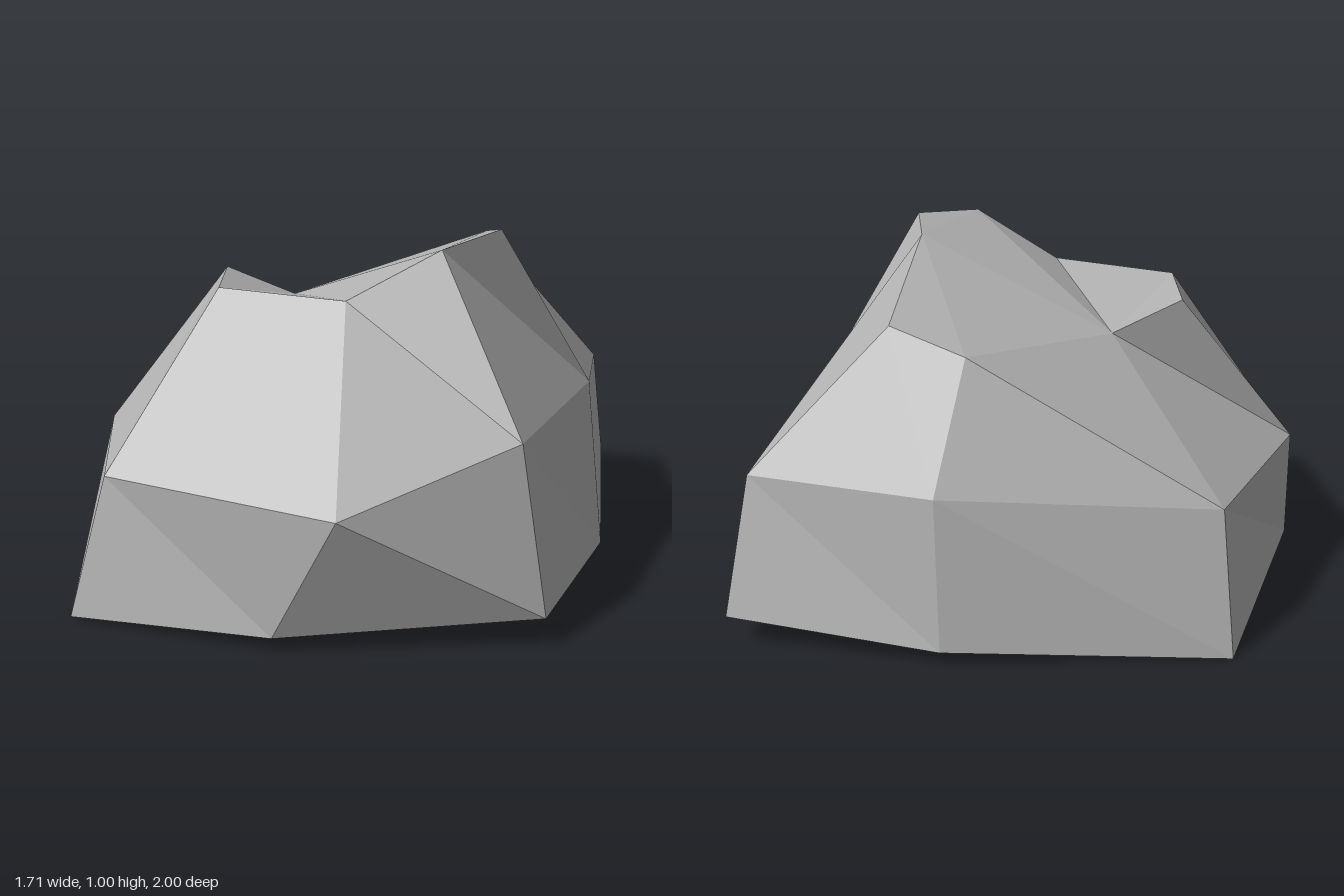
import * as THREE from 'three';

// Cross-section loops, running from the front (+z) round by +x
const base = [
  [-0.02, 0.01, 1.0], [0.46, 0.04, 0.67], [0.85, 0.08, 0.09], [0.46, 0.01, -0.51],
  [-0.02, 0.08, -1.0], [-0.45, 0.04, -0.59], [-0.86, 0.0, 0.07], [-0.45, 0.055, 0.66],
];
const middle = [
  [0, 0.39, 0.89], [0.635, 0.39, 0.59], [0.755, 0.525, 0.1], [0.44, 0.525, -0.45],
  [0.03, 0.45, -0.89], [-0.385, 0.445, -0.56], [-0.765, 0.39, 0.1], [-0.475, 0.39, 0.63],
];
const crown = [
  [-0.09, 0.83, 0.475], [0.265, 0.83, 0.295], [0.45, 0.975, 0.12], [0.41, 1.0, -0.12],
  [0.265, 0.97, -0.195], [-0.09, 0.83, -0.51], [-0.28, 0.77, -0.39], [-0.25, 0.74, 0.12],
  [-0.34, 0.83, 0.3],
];

// Joins two closed loops with triangles; each step advances the lower (L) or upper (U) loop
function band(lower, upper, steps) {
  const triangles = [];
  let i = 0, j = 0;
  for (const step of steps) {
    const a = lower[i % lower.length], b = upper[j % upper.length];
    if (step === 'L') triangles.push([a, lower[++i % lower.length], b]);
    else triangles.push([a, upper[++j % upper.length], b]);
  }
  return triangles;
}

function facetMesh(name, triangles, material) {
  const geometry = new THREE.BufferGeometry();
  geometry.setAttribute('position', new THREE.Float32BufferAttribute(triangles.flat(2), 3));
  geometry.computeVertexNormals();
  const mesh = new THREE.Mesh(geometry, material);
  mesh.name = name;
  return mesh;
}

export function createModel() {
  const stone = new THREE.MeshStandardMaterial({ color: 0xb0b0b0 });
  stone.name = 'grey stone';
  stone.flatShading = true;

  const rock = new THREE.Group();
  rock.name = 'rock';

  // Steep lower sides and sloping shoulders
  rock.add(facetMesh('lowerSides', band(base, middle, 'LULULUULLULULULU'), stone));
  rock.add(facetMesh('shoulders', band(middle, crown, 'LULULUULULULULULU'), stone));

  // Top, dipping to a hollow on the -x side
  const top = [[7, 8, 0], [7, 0, 1], [7, 1, 2], [7, 2, 4], [2, 3, 4], [7, 4, 6], [4, 5, 6]];
  rock.add(facetMesh('top', top.map((t) => t.map((k) => crown[k])), stone));

  // Underside as a fan from the front corner
  const under = [];
  for (let i = 1; i < base.length - 1; i++) under.push([base[0], base[i + 1], base[i]]);
  rock.add(facetMesh('underside', under, stone));

  return rock;
}
